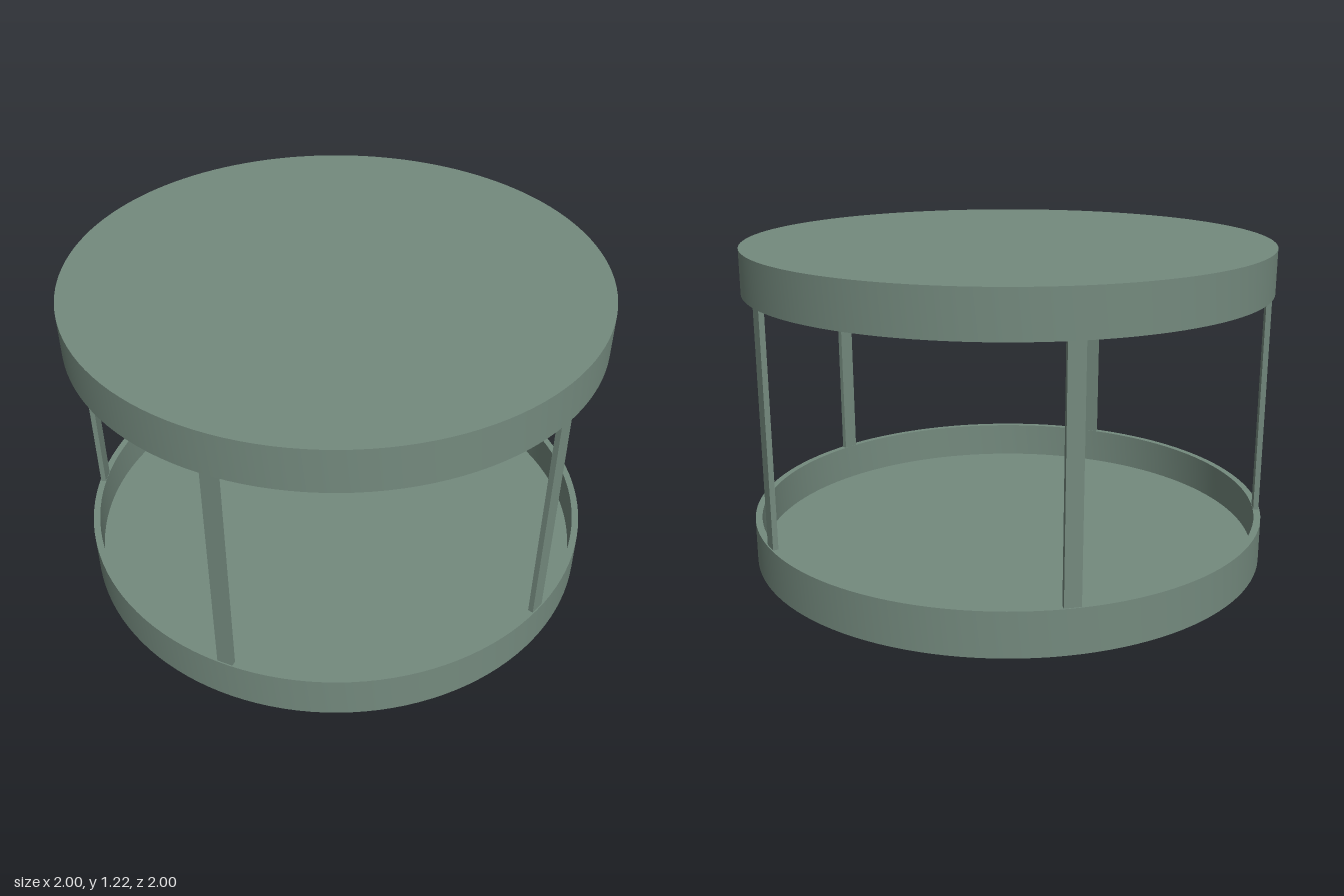
import * as THREE from 'three';
import { toCreasedNormals } from 'three/addons/utils/BufferGeometryUtils.js';

const TOTAL = 1.215, RIM = 0.167, FLOOR = 0.02, WALL_INNER = 0.974;
const POSTS = 5, POST_R = 0.985, POST_W = 0.06, POST_T = 0.02;

export function createModel() {
  const model = new THREE.Group();
  model.name = 'roundTable';
  const material = new THREE.MeshStandardMaterial({ color: 0x748a7e });

  // Shallow round tray: thin floor with a thin upright rim
  const profile = [
    [0, 0], [1, 0], [1, RIM], [WALL_INNER, RIM], [WALL_INNER, FLOOR], [0, FLOOR],
  ].map(([r, y]) => new THREE.Vector2(r, y));
  const trayGeometry = toCreasedNormals(new THREE.LatheGeometry(profile, 128), 0.5);

  const base = new THREE.Mesh(trayGeometry, material);
  base.name = 'baseTray';
  model.add(base);

  // Same tray turned over forms the top
  const top = new THREE.Mesh(trayGeometry, material);
  top.name = 'tableTop';
  top.rotation.x = Math.PI;
  top.position.y = TOTAL;
  model.add(top);

  // Flat upright posts spaced evenly between the two rims
  const postGeometry = new THREE.BoxGeometry(POST_W, TOTAL - 2 * RIM, POST_T);
  for (let i = 0; i < POSTS; i++) {
    const angle = THREE.MathUtils.degToRad(9 + (i * 360) / POSTS);
    const post = new THREE.Mesh(postGeometry, material);
    post.name = `post${i + 1}`;
    post.position.set(Math.sin(angle) * POST_R, TOTAL / 2, Math.cos(angle) * POST_R);
    post.rotation.y = angle;
    model.add(post);
  }
  return model;
}
